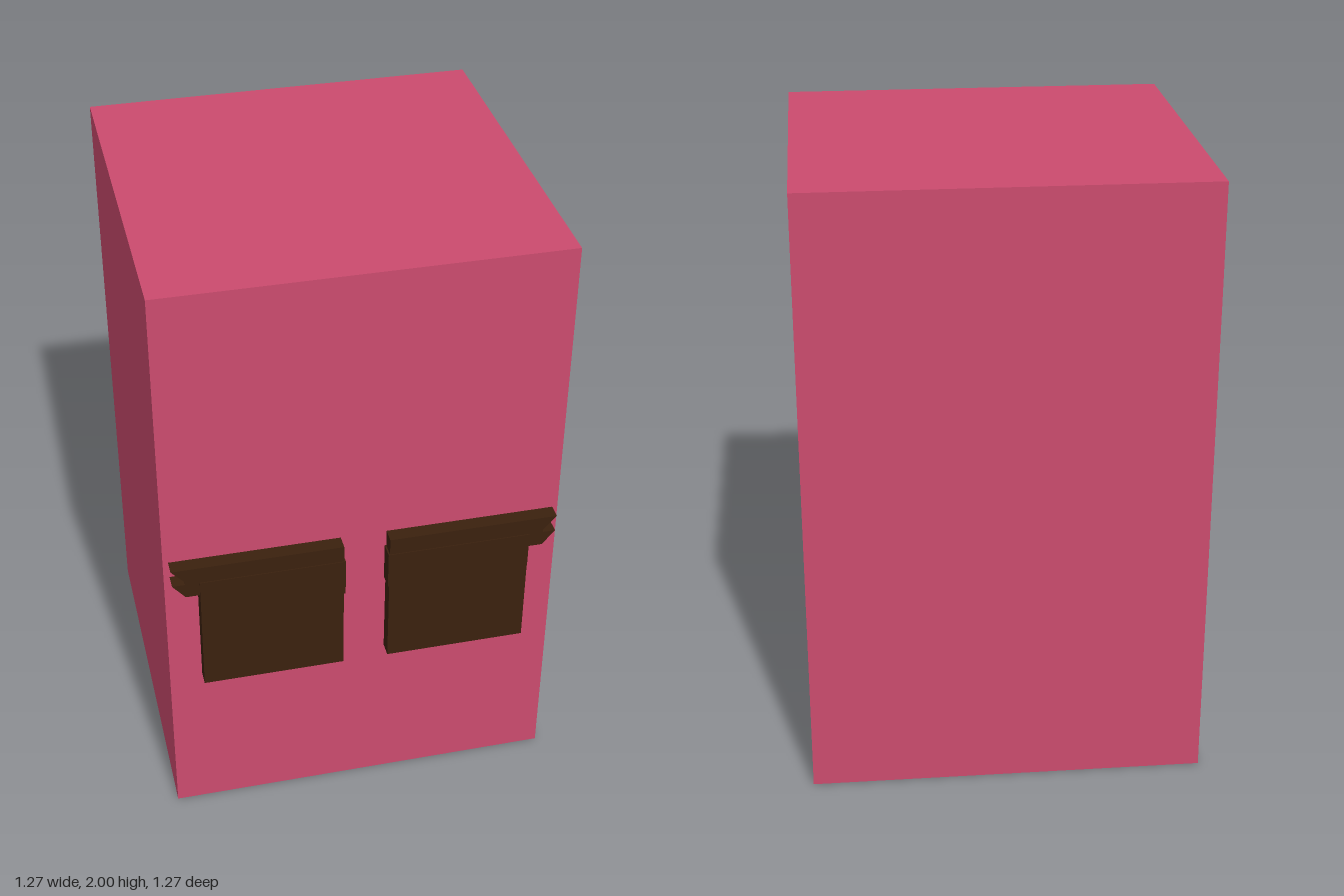
import * as THREE from 'three';

export function createModel() {
  const model = new THREE.Group();
  const pink = new THREE.MeshStandardMaterial({ color: 0xcb4b6e });
  pink.name = 'pink';
  const brown = new THREE.MeshStandardMaterial({ color: 0x3b210e });
  brown.name = 'darkBrown';

  const front = 0.586; // front face of the body

  // Plain block body
  const body = new THREE.Mesh(new THREE.BoxGeometry(1.274, 2, front + 0.637), pink);
  body.name = 'body';
  body.position.set(0, 1, (front - 0.637) / 2);
  model.add(body);

  // Outline of one eye with two pointed lashes at its outer top corner
  const outline = [
    [0.074, 0.565], [0.532, 0.565], [0.532, 0.94], [0.577, 0.94], [0.618, 0.99],
    [0.577, 0.99], [0.577, 1.0], [0.62, 1.048], [0.074, 1.048],
  ];

  // Flat-sided plate standing out from the front of the body
  function plate(name, points, side, depth) {
    const pts = points.map(([x, y]) => new THREE.Vector2(x * side, y));
    const geometry = new THREE.ExtrudeGeometry(new THREE.Shape(pts), { depth, bevelEnabled: false });
    const mesh = new THREE.Mesh(geometry, brown);
    mesh.name = name;
    mesh.position.z = front;
    return mesh;
  }

  for (const [label, side] of [['left', 1], ['right', -1]]) {
    const eye = new THREE.Group();
    eye.name = label + 'Eye';
    eye.add(plate(label + 'EyeAndLashes', outline, side, 0.048));
    // Slightly raised eyelid band
    const band = [[0.069, 0.86], [0.532, 0.86], [0.532, 0.99], [0.069, 0.99]];
    eye.add(plate(label + 'Eyelid', band, side, 0.051));
    model.add(eye);
  }
  return model;
}
